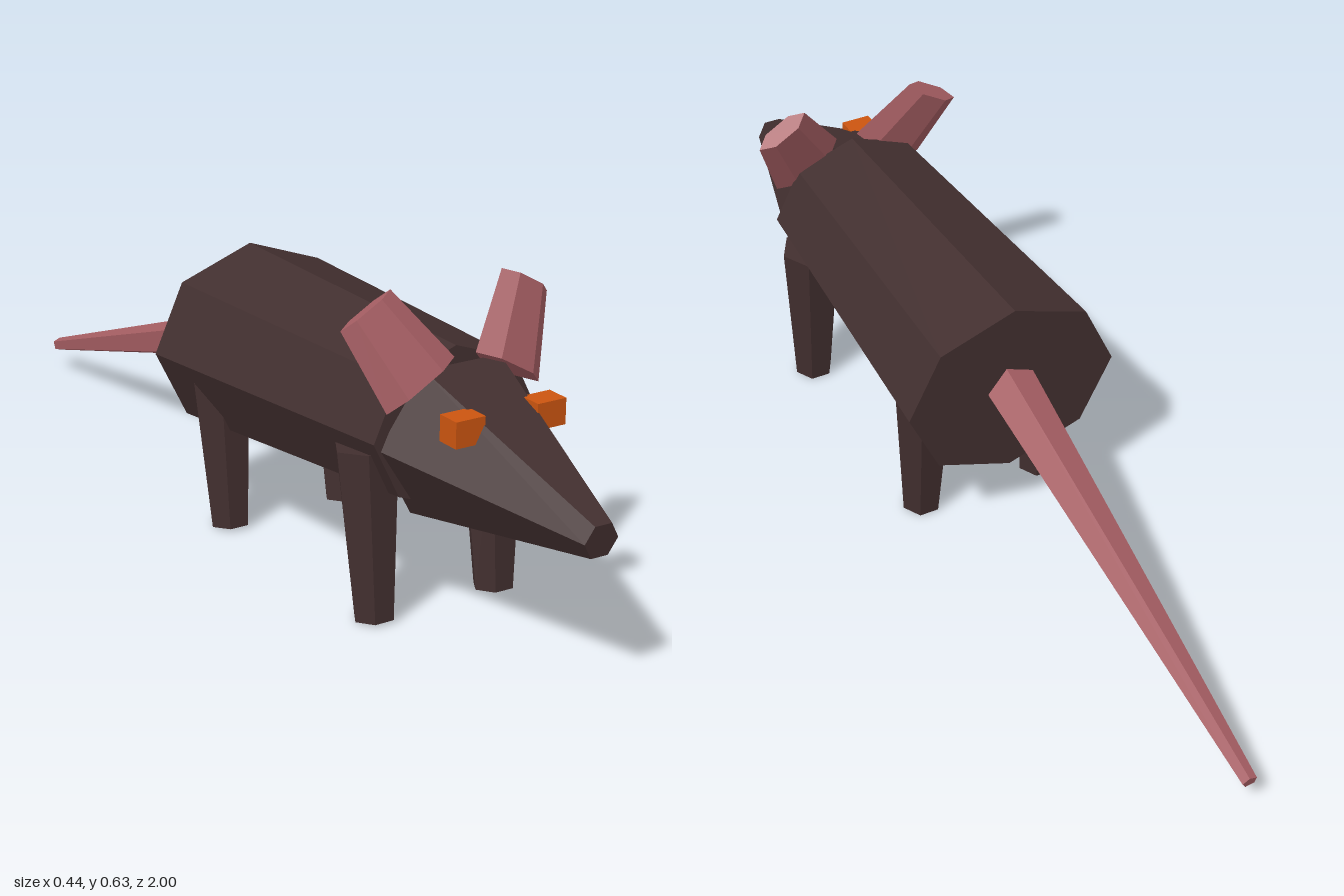
import * as THREE from 'three';

const V = (x, y, z) => new THREE.Vector3(x, y, z);

const material = (name, color) => {
  const m = new THREE.MeshStandardMaterial({ color, flatShading: true });
  m.name = name;
  return m;
};

// Tapered prism from point a to point b; "side" fixes the local x axis,
// sx and sz stretch the cross-section, start turns its corners.
function taper(name, mat, a, b, ra, rb, sides, { start = 0, sx = 1, sz = 1, side = V(1, 0, 0) } = {}) {
  const axis = b.clone().sub(a);
  const geo = new THREE.CylinderGeometry(rb, ra, axis.length(), sides, 1, false, start);
  geo.scale(sx, 1, sz);
  const y = axis.normalize();
  const z = side.clone().cross(y).normalize();
  const x = y.clone().cross(z);
  geo.applyMatrix4(new THREE.Matrix4().makeBasis(x, y, z));
  const mid = a.clone().add(b).multiplyScalar(0.5);
  geo.translate(mid.x, mid.y, mid.z);
  const mesh = new THREE.Mesh(geo, mat);
  mesh.name = name;
  return mesh;
}

export function createModel() {
  const model = new THREE.Group();
  model.name = 'rat';
  const fur = material('dark fur', 0x422f2f);
  const skin = material('pink skin', 0xa65e63);
  const orange = material('orange eye', 0xcc5510);
  const hex = Math.PI / 6; // hexagon with corners on its local x axis

  // Body: octagonal barrel, widest at the rump
  model.add(taper('body', fur, V(0, 0.333, -0.124), V(0, 0.365, 0.58), 0.19, 0.151, 8, { sx: 1.165 }));

  // Head: hexagonal cone ending in a blunt nose
  model.add(taper('head', fur, V(0, 0.35, 0.575), V(0, 0.298, 0.996), 0.163, 0.035, 6, { start: hex }));

  // Tail: five-sided, sloping down to the ground
  model.add(taper('tail', skin, V(0, 0.339, -0.11), V(0, 0.058, -0.996), 0.053, 0.015, 5, { start: Math.PI / 12 }));

  for (const s of [1, -1]) {
    const label = s > 0 ? 'left' : 'right';

    // Legs, narrowing to the foot
    model.add(taper(label + 'FrontLeg', fur, V(s * 0.133, 0.004, 0.523), V(s * 0.136, 0.33, 0.498), 0.04, 0.063, 6, { start: hex }));
    model.add(taper(label + 'RearLeg', fur, V(s * 0.133, 0.004, 0.01), V(s * 0.136, 0.33, -0.018), 0.04, 0.063, 6, { start: hex }));

    // Flattened ears, leaning outward and back
    model.add(taper(label + 'Ear', skin, V(s * 0.093, 0.466, 0.6), V(s * 0.17, 0.6, 0.54), 0.081, 0.059, 6,
      { start: hex, sz: 0.36, side: V(0.86, -s * 0.5, 0) }));

    // Block eyes
    const eye = new THREE.Mesh(new THREE.BoxGeometry(0.061, 0.049, 0.048), orange);
    eye.name = label + 'Eye';
    eye.position.set(s * 0.086, 0.423, 0.717);
    model.add(eye);
  }
  return model;
}
